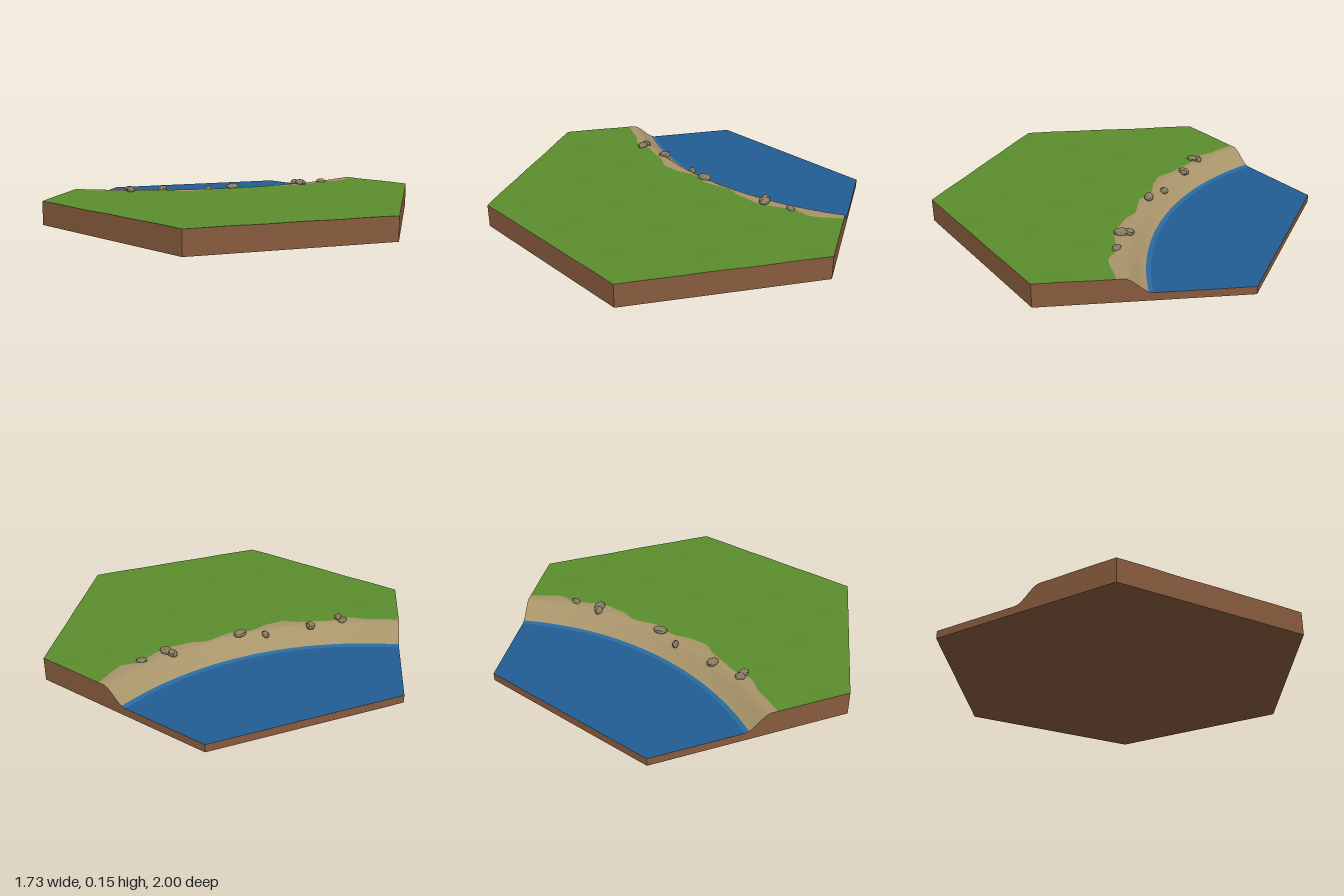
import * as THREE from 'three';

const material = (name, hex, opts = {}) => {
  const m = new THREE.MeshStandardMaterial({ color: hex, ...opts });
  m.name = name;
  return m;
};

// The tile is described in polar form around the lake centre, which lies outside the hexagon
const CX = -0.866, CZ = -1.5, END = Math.PI / 3;
const DEG = Math.PI / 180;
const xz = (t, r) => [CX + r * Math.sin(t), CZ + r * Math.cos(t)];

// Near and far hexagon limits along a ray
const rNear = (t) => 0.866 / Math.cos(t - Math.PI / 6);
const rFar = (t) => {
  const s = Math.sin(t), c = Math.cos(t);
  const limits = [1.732 / Math.max(s, 1e-6), 2.598 / (0.5 * s + 0.866 * c)];
  const d = 0.866 * c - 0.5 * s;
  if (d > 1e-6) limits.push(1.732 / d);
  return Math.min(...limits);
};

// Smooth interpolation through [position, value] pairs
function lookup(table, v) {
  for (let i = 1; i < table.length; i++) {
    const [a, ya] = table[i - 1], [b, yb] = table[i];
    if (v <= b) return THREE.MathUtils.lerp(ya, yb, THREE.MathUtils.smoothstep(v, a, b));
  }
  return table[table.length - 1][1];
}

// Wavy grass edge: angle in degrees, radius
const GRASS_EDGE = [[0, 1.625], [5.9, 1.62], [9.3, 1.64], [13.1, 1.61], [18.6, 1.62], [21.9, 1.65],
  [23.9, 1.64], [28.7, 1.6], [32.3, 1.62], [37.3, 1.597], [40.8, 1.63], [44.9, 1.65],
  [51.1, 1.625], [54.2, 1.658], [60, 1.63]];
const grassEdge = (t) => lookup(GRASS_EDGE, t / DEG);

// Ground height: flat water, curved bank, gently rolling meadow
const WATER_Y = 0.04, TOP_Y = 0.12;
function height(t, r) {
  const [x, z] = xz(t, r);
  const bank = THREE.MathUtils.smoothstep(r, 1.465, 1.6);
  const roll = 0.0015 * Math.sin(x * 13 + z * 4) * Math.sin(z * 14 - x * 3);
  return WATER_Y + (TOP_Y - WATER_Y) * bank + roll * THREE.MathUtils.smoothstep(r, 1.55, 1.75);
}

// Angles include the two far corners so that the outline stays sharp
const angles = [Math.atan2(0.866, 2.5), Math.atan2(1.732, 2)];
for (let i = 0; i <= 120; i++) angles.push((END * i) / 120);
angles.sort((a, b) => a - b);

// Surface between two radii
function band(name, inner, outer, rows, mat) {
  const pos = [], index = [];
  angles.forEach((t, i) => {
    for (let j = 0; j <= rows; j++) {
      const r = THREE.MathUtils.lerp(inner(t), outer(t), j / rows);
      const [x, z] = xz(t, r);
      pos.push(x, height(t, r), z);
      if (i < angles.length - 1 && j < rows) {
        const a = i * (rows + 1) + j, c = a + rows + 1;
        index.push(a, a + 1, c, a + 1, c + 1, c);
      }
    }
  });
  const g = new THREE.BufferGeometry();
  g.setAttribute('position', new THREE.Float32BufferAttribute(pos, 3));
  g.setIndex(index);
  g.computeVertexNormals();
  const mesh = new THREE.Mesh(g, mat);
  mesh.name = name;
  return mesh;
}

// Vertical soil walls following the ground outline
function soilWalls(mat) {
  const path = [], N = 80;
  const radial = (t, k) => [t, THREE.MathUtils.lerp(rNear(t), rFar(t), k / N)];
  for (let k = 0; k < N; k++) path.push(radial(0, k));
  angles.forEach((t) => path.push([t, rFar(t)]));
  for (let k = N - 1; k >= 0; k--) path.push(radial(END, k));
  [...angles].reverse().forEach((t) => path.push([t, rNear(t)]));
  const pos = [];
  for (let i = 0; i < path.length - 1; i++) {
    const [p, q] = [path[i], path[i + 1]];
    const [px, pz] = xz(...p), [qx, qz] = xz(...q);
    if (Math.hypot(px - qx, pz - qz) < 1e-6) continue;
    const hp = height(...p), hq = height(...q);
    pos.push(px, 0, pz, qx, 0, qz, qx, hq, qz, px, 0, pz, qx, hq, qz, px, hp, pz);
  }
  const g = new THREE.BufferGeometry();
  g.setAttribute('position', new THREE.Float32BufferAttribute(pos, 3));
  g.computeVertexNormals();
  const mesh = new THREE.Mesh(g, mat);
  mesh.name = 'soilWalls';
  return mesh;
}

// Flattened, slightly irregular stone
function stone([x, z, long, wide, turn, top], seed, mat) {
  const g = new THREE.IcosahedronGeometry(1, 1);
  const p = g.attributes.position, v = new THREE.Vector3();
  for (let i = 0; i < p.count; i++) {
    v.fromBufferAttribute(p, i);
    v.multiplyScalar(1 + 0.08 * Math.sin(v.x * 4 + seed * 2.1) * Math.cos(v.z * 5 + v.y * 3 + seed));
    p.setXYZ(i, v.x, v.y, v.z);
  }
  g.computeVertexNormals();
  const mesh = new THREE.Mesh(g, mat);
  mesh.name = 'stone';
  mesh.scale.set(long, 0.02, wide);
  mesh.rotation.y = turn;
  mesh.position.set(x, top - 0.02, z);
  return mesh;
}

export function createModel() {
  const water = material('deep water blue', 0x225d95);
  const shallow = material('shallow water blue', 0x296a9f);
  const sand = material('sand', 0xa8946a);
  const grass = material('grass green', 0x5b8d2d);
  const soil = material('soil brown', 0x875b3d);
  const rock = material('stone grey brown', 0x8a7d60, { flatShading: true });

  const group = new THREE.Group();
  group.name = 'lakeShoreTile';
  group.add(
    band('water', rNear, () => 1.465, 4, water),
    band('shallowWater', () => 1.465, () => 1.487, 2, shallow),
    band('beach', () => 1.487, grassEdge, 14, sand),
    band('meadow', grassEdge, rFar, 30, grass),
    soilWalls(soil),
  );

  // Underside
  const base = new THREE.Mesh(new THREE.CircleGeometry(1, 6, Math.PI / 6), soil);
  base.rotation.x = Math.PI / 2;
  base.name = 'underside';
  group.add(base);

  // Stones along the bank: x, z, half length, half width, turn, top height
  const stones = new THREE.Group();
  stones.name = 'stones';
  [
    [-0.57, 0.075, 0.026, 0.019, 0.9, 0.144],
    [-0.55, 0.1, 0.033, 0.021, -1.2, 0.145],
    [-0.405, 0.002, 0.034, 0.024, -1.4, 0.14],
    [-0.18, -0.106, 0.023, 0.016, -0.7, 0.13],
    [-0.052, -0.14, 0.038, 0.025, 0.9, 0.145],
    [0.255, -0.38, 0.029, 0.022, -0.6, 0.143],
    [0.288, -0.364, 0.036, 0.027, -0.7, 0.146],
    [0.389, -0.467, 0.028, 0.018, 0.3, 0.14],
  ].forEach((s, i) => stones.add(stone(s, i + 1, rock)));
  group.add(stones);
  return group;
}
